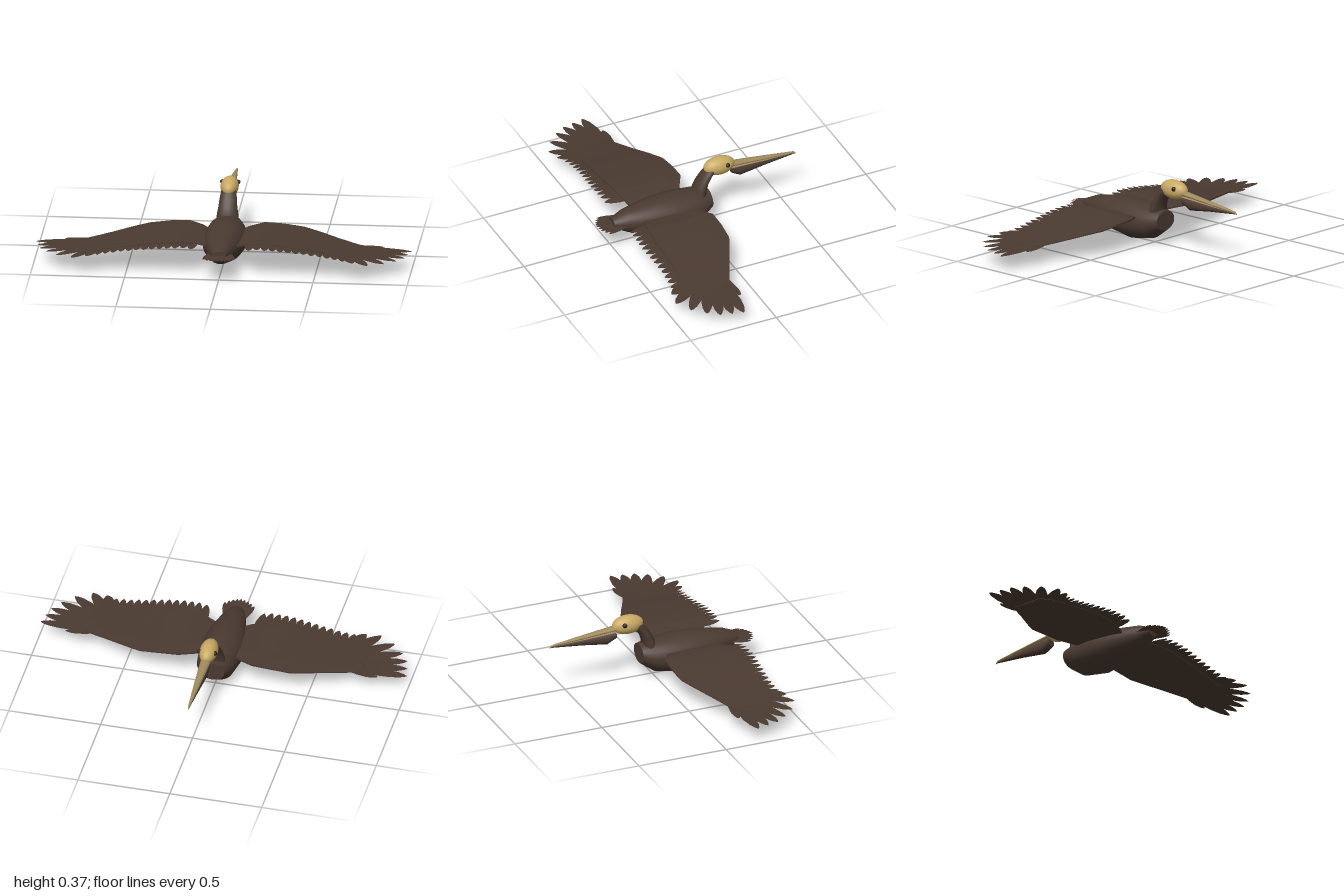
import * as THREE from 'three';

const mat = (name, color, side = THREE.FrontSide) => {
  const m = new THREE.MeshStandardMaterial({ color, side });
  m.name = name;
  return m;
};

// Piecewise-linear lookup in rows [key, a, b, ...]
function sample(rows, k) {
  let i = 0;
  while (i < rows.length - 2 && k > rows[i + 1][0]) i++;
  const a = rows[i], b = rows[i + 1];
  const t = THREE.MathUtils.clamp((k - a[0]) / (b[0] - a[0]), 0, 1);
  return a.map((v, j) => v + (b[j] - v) * t);
}

// Capped elliptical loft along z: stations [z, centreY, radiusX, radiusY]
function loftZ(stations, sides = 28) {
  const n = stations.length - 1;
  const g = new THREE.CylinderGeometry(1, 1, 1, sides, n).rotateX(Math.PI / 2);
  const p = g.attributes.position;
  for (let i = 0; i < p.count; i++) {
    const s = stations[Math.round((p.getZ(i) + 0.5) * n)];
    p.setXYZ(i, p.getX(i) * s[2], s[1] + p.getY(i) * s[3], s[0]);
  }
  g.computeVertexNormals();
  return g;
}

// Upright loft: stations [y, centreZ, radiusX, radiusZ]
function loftY(stations, sides = 24) {
  const n = stations.length - 1;
  const g = new THREE.CylinderGeometry(1, 1, 1, sides, n);
  const p = g.attributes.position;
  for (let i = 0; i < p.count; i++) {
    const s = stations[Math.round((p.getY(i) + 0.5) * n)];
    p.setXYZ(i, p.getX(i) * s[2], s[0], s[1] + p.getZ(i) * s[3]);
  }
  g.computeVertexNormals();
  return g;
}

// Leaf-shaped flat feather from root to tip [x, z]; height(x, z) bends it
function featherGeometry(root, tip, halfWidth, height) {
  const dx = tip[0] - root[0], dz = tip[1] - root[1], len = Math.hypot(dx, dz);
  const outline = [[0, 0.7], [0.35, 0.95], [0.65, 1], [0.85, 0.72], [0.95, 0.36], [1, 0]];
  const pos = [], idx = [];
  outline.forEach(([t, w], i) => {
    for (const s of [-1, 1]) {
      const x = root[0] + dx * t - (dz / len) * w * halfWidth * s;
      const z = root[1] + dz * t + (dx / len) * w * halfWidth * s;
      pos.push(x, height(x, z), z);
    }
    const k = i * 2;
    if (i) idx.push(k - 2, k - 1, k, k - 1, k + 1, k);
  });
  const g = new THREE.BufferGeometry();
  g.setAttribute('position', new THREE.Float32BufferAttribute(pos, 3));
  g.setIndex(idx);
  g.computeVertexNormals();
  return g;
}

// Wing plan: [x, leading z, trailing z, mid height, thickness]
const WING = [
  [0.08, 0.07, 0.34, 0.14, 0.02], [0.12, 0.035, 0.35, 0.152, 0.02],
  [0.2, -0.01, 0.36, 0.162, 0.018], [0.3, -0.012, 0.37, 0.157, 0.016],
  [0.41, -0.005, 0.37, 0.145, 0.014], [0.5, 0.035, 0.37, 0.133, 0.013],
  [0.6, 0.085, 0.37, 0.117, 0.012], [0.7, 0.13, 0.36, 0.103, 0.01],
  [0.755, 0.155, 0.33, 0.098, 0.006],
];
const HEIGHT = [...WING.map((r) => [r[0], r[3]]), [1, 0.09]];
const wingY = (x) => sample(HEIGHT, x)[1];

function buildWing(brown) {
  const wing = new THREE.Group();
  const add = (geo, name) => {
    const m = new THREE.Mesh(geo, brown);
    m.name = name;
    wing.add(m);
  };

  // Thick inner surface
  const panel = new THREE.BoxGeometry(1, 1, 1, WING.length - 1, 1, 6);
  const p = panel.attributes.position;
  for (let i = 0; i < p.count; i++) {
    const r = WING[Math.round((p.getX(i) + 0.5) * (WING.length - 1))];
    const v = p.getZ(i) + 0.5;
    const half = r[4] * (0.25 + 0.75 * Math.sin(Math.PI * Math.min(1, v * 0.8 + 0.1)));
    p.setXYZ(i, r[0], r[3] + p.getY(i) * half, r[1] + (r[2] - r[1]) * v);
  }
  panel.computeVertexNormals();
  add(panel, 'wingPanel');

  // Long fingered feathers at the tip
  const tips = [[0.85, 0.138], [0.998, 0.188], [0.985, 0.25], [0.97, 0.312], [0.93, 0.372],
    [0.87, 0.437], [0.785, 0.485], [0.705, 0.472]];
  tips.forEach((tip, i) => {
    const root = [0.68 - i * 0.007, 0.155 + i * 0.02];
    add(featherGeometry(root, tip, i ? 0.032 : 0.022, (x) => wingY(x) - 0.002 + i * 0.0008), 'primaryFeather');
  });

  // Trailing row
  for (let i = 0; i < 13; i++) {
    const x = 0.148 + i * 0.041;
    add(featherGeometry([x - 0.004, 0.24], [x + 0.008, 0.455 + 0.008 * Math.sin(i * 0.5)], 0.025,
      (px) => wingY(px) - 0.001 + (i % 2) * 0.001), 'secondaryFeather');
  }

  // Overlapping covert rows on the upper side
  [[0.78, 0.14], [0.56, 0.12], [0.34, 0.1]].forEach(([f, len], row) => {
    for (let i = 0; i < 17; i++) {
      const x = 0.14 + i * 0.034;
      const [, lead, trail, , th] = sample(WING, x);
      const z = lead + (trail - lead) * f;
      add(featherGeometry([x - 0.006, z - len / 2], [x + 0.012, z + len / 2], 0.021,
        (px) => wingY(px) + th * 0.5 + 0.001 + row * 0.001 + (i % 2) * 0.0008), 'covertFeather');
    }
  });
  return wing;
}

export function createModel() {
  const model = new THREE.Group();
  const brown = mat('plumageBrown', 0x4a3a31);
  const feather = mat('featherBrown', 0x4a3a31, THREE.DoubleSide);
  const tan = mat('headTan', 0xc8aa64);
  const horn = mat('billHorn', 0xa08a5e);
  const dark = mat('eyeBrown', 0x3a2a1e);
  const black = mat('pupilBlack', 0x0c0a09);
  const add = (geo, material, name) => {
    const m = new THREE.Mesh(geo, material);
    m.name = name;
    model.add(m);
    return m;
  };

  add(loftZ([[-0.075, 0.133, 0.068, 0.053], [0, 0.113, 0.1, 0.088], [0.13, 0.108, 0.118, 0.105],
    [0.265, 0.116, 0.105, 0.091], [0.41, 0.124, 0.066, 0.061], [0.485, 0.131, 0.036, 0.024]], 32), brown, 'body');
  add(loftY([[0.165, -0.02, 0.06, 0.036], [0.2, -0.023, 0.057, 0.034], [0.24, -0.038, 0.05, 0.033],
    [0.28, -0.064, 0.045, 0.031], [0.3, -0.082, 0.042, 0.031], [0.325, -0.1, 0.034, 0.028]]), brown, 'neck');

  const head = add(new THREE.SphereGeometry(1, 32, 20), tan, 'head');
  head.scale.set(0.048, 0.052, 0.088);
  head.position.set(0, 0.317, -0.14);
  for (const s of [-1, 1]) {
    add(new THREE.SphereGeometry(0.013, 16, 12), dark, 'eye').position.set(s * 0.04, 0.331, -0.172);
    add(new THREE.SphereGeometry(0.006, 12, 8), black, 'pupil').position.set(s * 0.0485, 0.332, -0.174);
  }

  // Bill with hooked tip, lower jaw and hanging pouch
  add(loftZ([[-0.588, 0.262, 0.002, 0.003], [-0.578, 0.269, 0.005, 0.007], [-0.55, 0.274, 0.007, 0.006],
    [-0.4, 0.289, 0.016, 0.009], [-0.2, 0.309, 0.026, 0.012]], 16), horn, 'upperBill');
  add(loftZ([[-0.575, 0.267, 0.003, 0.002], [-0.4, 0.278, 0.015, 0.003], [-0.2, 0.291, 0.024, 0.004]], 16), horn, 'lowerBill');
  add(loftZ([[-0.575, 0.264, 0.003, 0.003], [-0.4, 0.26, 0.015, 0.017], [-0.26, 0.255, 0.024, 0.032],
    [-0.21, 0.27, 0.024, 0.019]], 20), brown, 'pouch');

  // Mirrored wings
  for (const s of [1, -1]) {
    const wing = buildWing(feather);
    wing.name = s > 0 ? 'leftWing' : 'rightWing';
    wing.scale.x = s;
    model.add(wing);
  }

  // Tail fan
  const tail = new THREE.Group();
  tail.name = 'tail';
  for (let i = -4; i <= 4; i++) {
    const a = Math.abs(i);
    const m = new THREE.Mesh(featherGeometry([i * 0.009, 0.39], [i * 0.02, 0.578 - a * a * 0.0025], 0.017,
      () => 0.132 - a * 0.0015), feather);
    m.name = 'tailFeather';
    tail.add(m);
  }
  model.add(tail);
  return model;
}
